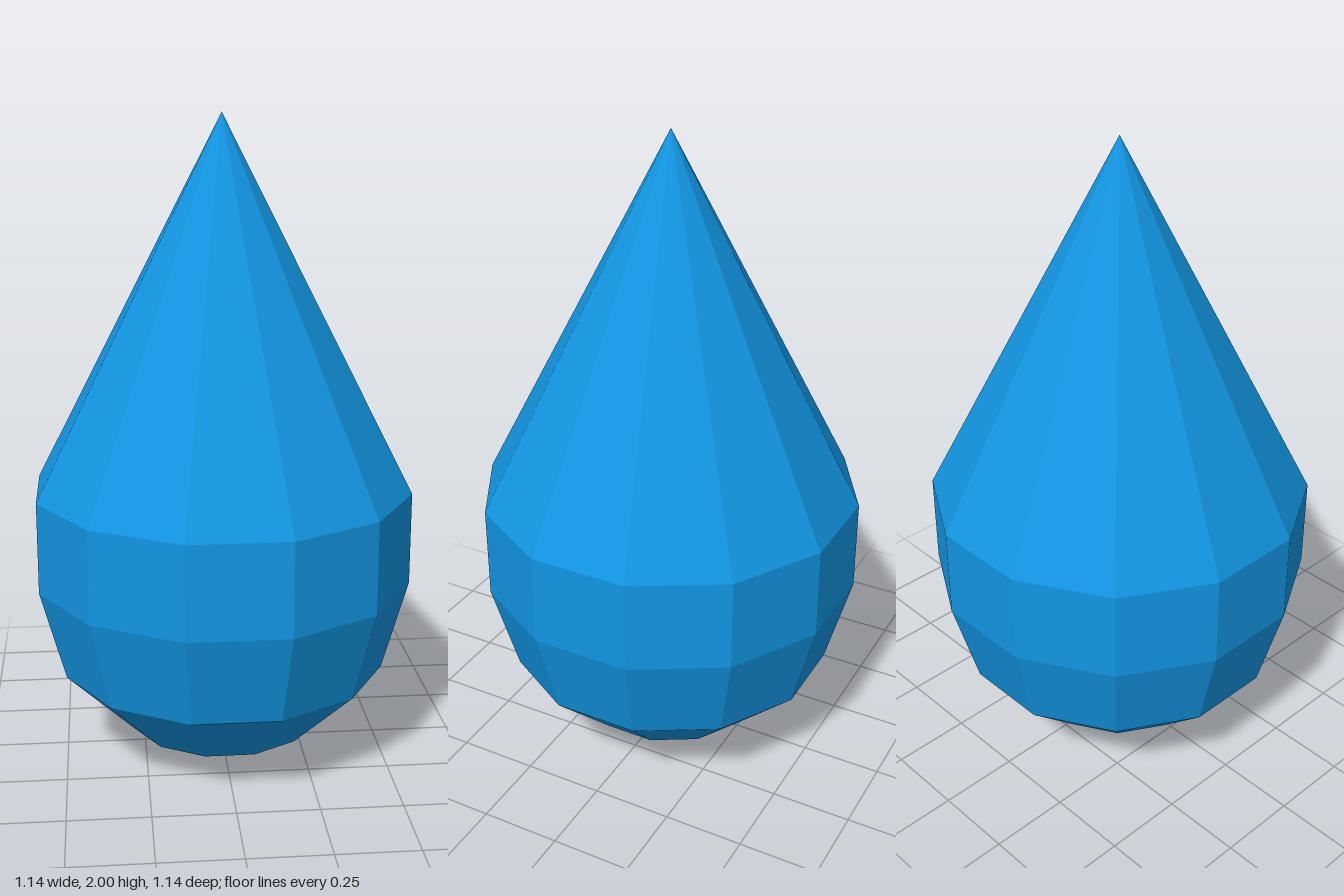
import * as THREE from 'three';

export function createModel() {
  const model = new THREE.Group();
  model.name = 'waterDrop';

  const waterBlue = new THREE.MeshStandardMaterial({ color: 0x1296e3, flatShading: true });
  waterBlue.name = 'water blue';

  // Twelve-sided drop: lower half of a sphere, a straight belt, then a cone
  const sides = 12;
  const radius = 0.592;
  const centre = 0.575;
  const profile = [];
  for (let i = 0; i <= 3; i++) {
    const a = (i * Math.PI) / 6;
    profile.push(new THREE.Vector2(radius * Math.sin(a), centre * (1 - Math.cos(a))));
  }
  profile.push(new THREE.Vector2(radius, centre * 1.5), new THREE.Vector2(0, 2));

  // Half a step of turn puts a flat facet at the front
  const drop = new THREE.Mesh(
    new THREE.LatheGeometry(profile, sides, Math.PI / sides),
    waterBlue
  );
  drop.name = 'dropBody';
  model.add(drop);

  return model;
}
